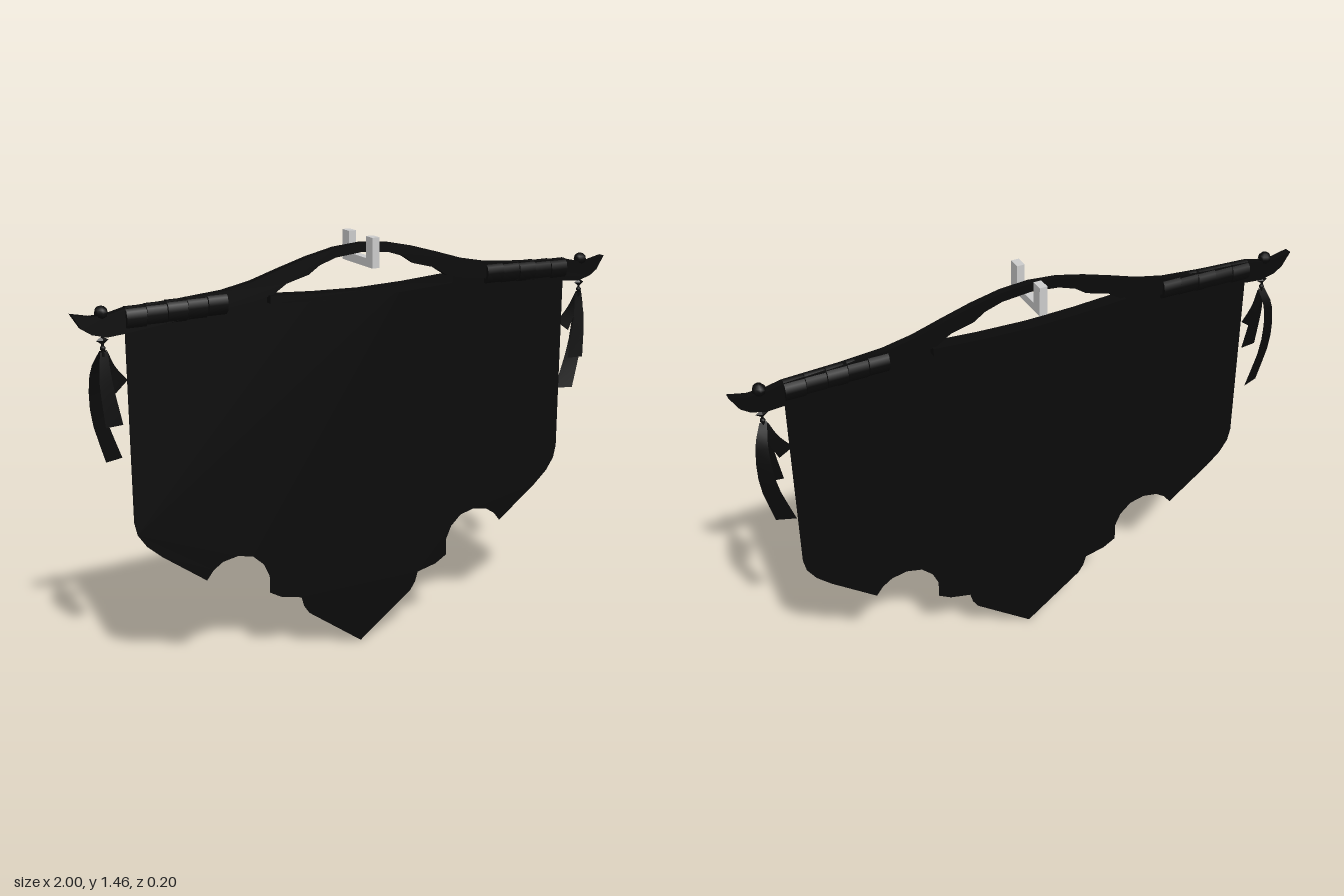
import * as THREE from 'three';

const black = new THREE.MeshStandardMaterial({ color: 0x0a0a0a });
const cloth = new THREE.MeshStandardMaterial({ color: 0x0a0a0a, side: THREE.DoubleSide });
const grey = new THREE.MeshStandardMaterial({ color: 0xcccccc });

function add(parent, name, geometry, material, x = 0, y = 0, z = 0) {
  const mesh = new THREE.Mesh(geometry, material);
  mesh.name = name;
  mesh.position.set(x, y, z);
  parent.add(mesh);
  return mesh;
}

// Closed symmetric shape from its right half, listed from the top centre to the bottom centre
function mirroredShape(half) {
  const right = half.map(([x, y]) => new THREE.Vector2(x, y));
  const left = half.filter(([x]) => x > 0).map(([x, y]) => new THREE.Vector2(-x, y)).reverse();
  return new THREE.Shape([...right, ...left]);
}

function slab(half, depth) {
  const g = new THREE.ExtrudeGeometry(mirroredShape(half), { depth, bevelEnabled: false });
  return g.translate(0, 0, -depth / 2);
}

// Thin ribbon swept down a path; the twist slants its width in z
function ribbon(points, w0, w1, twist, slope = 0) {
  const curve = new THREE.CatmullRomCurve3(points.map(p => new THREE.Vector3(...p)));
  const g = new THREE.PlaneGeometry(1, 1, 1, 8);
  const pos = g.attributes.position;
  for (let i = 0; i < pos.count; i++) {
    const t = 0.5 - pos.getY(i), s = pos.getX(i);
    const p = curve.getPoint(t), w = THREE.MathUtils.lerp(w0, w1, t);
    pos.setXYZ(i, p.x + s * w, p.y + s * slope * t, p.z + s * twist * t);
  }
  g.computeVertexNormals();
  return g;
}

function tassel(side) {
  const g = new THREE.Group();
  g.name = side > 0 ? 'leftTassel' : 'rightTassel';
  const x = 0.903;
  const at = p => [p[0] * side, p[1], p[2]];
  // Knob on the bar, cord and beads
  add(g, 'knob', new THREE.SphereGeometry(0.022, 8, 6), black, x * side, 1.293);
  add(g, 'cord', new THREE.CylinderGeometry(0.004, 0.004, 0.09, 6), black, x * side, 1.2);
  const bead = add(g, 'bead', new THREE.OctahedronGeometry(0.02), black, x * side, 1.207);
  bead.scale.set(1, 0.7, 0.4);
  add(g, 'knot', new THREE.SphereGeometry(0.009, 8, 6), black, x * side, 1.182);
  // Three ribbons hanging from the knot
  const long = [[0.902, 1.175, 0], [0.922, 1.11, -0.023], [0.92, 0.97, -0.032], [0.875, 0.81, -0.028]];
  const middle = [[0.9, 1.17, 0], [0.902, 1.08, 0.01], [0.885, 0.935, 0.02]];
  const short = [[0.898, 1.17, 0], [0.88, 1.11, -0.006], [0.845, 1.05, -0.01]];
  add(g, 'longRibbon', ribbon(long.map(at), 0.025, 0.062, 0.022 * side), cloth);
  add(g, 'middleRibbon', ribbon(middle.map(at), 0.025, 0.06, 0.008 * side), cloth);
  add(g, 'shortRibbon', ribbon(short.map(at), 0.02, 0.045, 0.01 * side, -0.035 * side), cloth);
  return g;
}

export function createModel() {
  const model = new THREE.Group();
  model.name = 'hangingBanner';

  // Flat cloth with a scalloped lower edge
  add(model, 'bannerCloth', new THREE.ShapeGeometry(mirroredShape([
    [0, 1.272], [0.17, 1.277], [0.34, 1.288], [0.83, 1.3], [0.83, 0.6], [0.82, 0.555],
    [0.79, 0.51], [0.74, 0.465], [0.585, 0.35], [0.56, 0.382], [0.525, 0.405], [0.47, 0.415],
    [0.415, 0.402], [0.375, 0.365], [0.355, 0.32], [0.355, 0.258], [0.31, 0.232], [0.235, 0.215],
    [0.225, 0.18], [0.205, 0.15], [0, 0],
  ])), cloth);

  // Arched crossbar with pointed horn ends
  add(model, 'crossbar', slab([
    [0, 1.43], [0.1, 1.422], [0.2, 1.4], [0.3, 1.371], [0.4, 1.34], [0.5, 1.32], [0.65, 1.308],
    [0.83, 1.3], [0.88, 1.288], [0.94, 1.285], [1, 1.298], [0.97, 1.25], [0.94, 1.23],
    [0.89, 1.217], [0.83, 1.222], [0.6, 1.25], [0.4, 1.275], [0.33, 1.29], [0.28, 1.322],
    [0.2, 1.343], [0.16, 1.37], [0.1, 1.39], [0, 1.4],
  ], 0.026), black);

  // Thick hem across the open middle
  add(model, 'centreHem', slab([
    [0, 1.275], [0.17, 1.28], [0.345, 1.291], [0.345, 1.265], [0.17, 1.255], [0, 1.25],
  ], 0.05), black);

  // Wrappings that bind the cloth to the bar
  for (const side of [1, -1]) {
    for (let i = 0; i < 5; i++) {
      const g = new THREE.CylinderGeometry(1, 1, 0.066, 10).rotateZ(Math.PI / 2);
      const wrap = add(model, 'wrap', g, black, side * (0.524 + i * 0.068), 1.28 - i * 0.003);
      wrap.scale.set(1, 0.037, i % 2 ? 0.024 : 0.027);
    }
    model.add(tassel(side));
  }

  // U-shaped hanger bracket
  const bracket = new THREE.Group();
  bracket.name = 'hangerBracket';
  add(bracket, 'bracketBase', new THREE.BoxGeometry(0.027, 0.028, 0.114), grey, 0, 1.374);
  for (const s of [1, -1]) {
    add(bracket, 'bracketArm', new THREE.BoxGeometry(0.027, 0.1, 0.043), grey, 0, 1.41, s * 0.0785);
  }
  model.add(bracket);
  return model;
}
